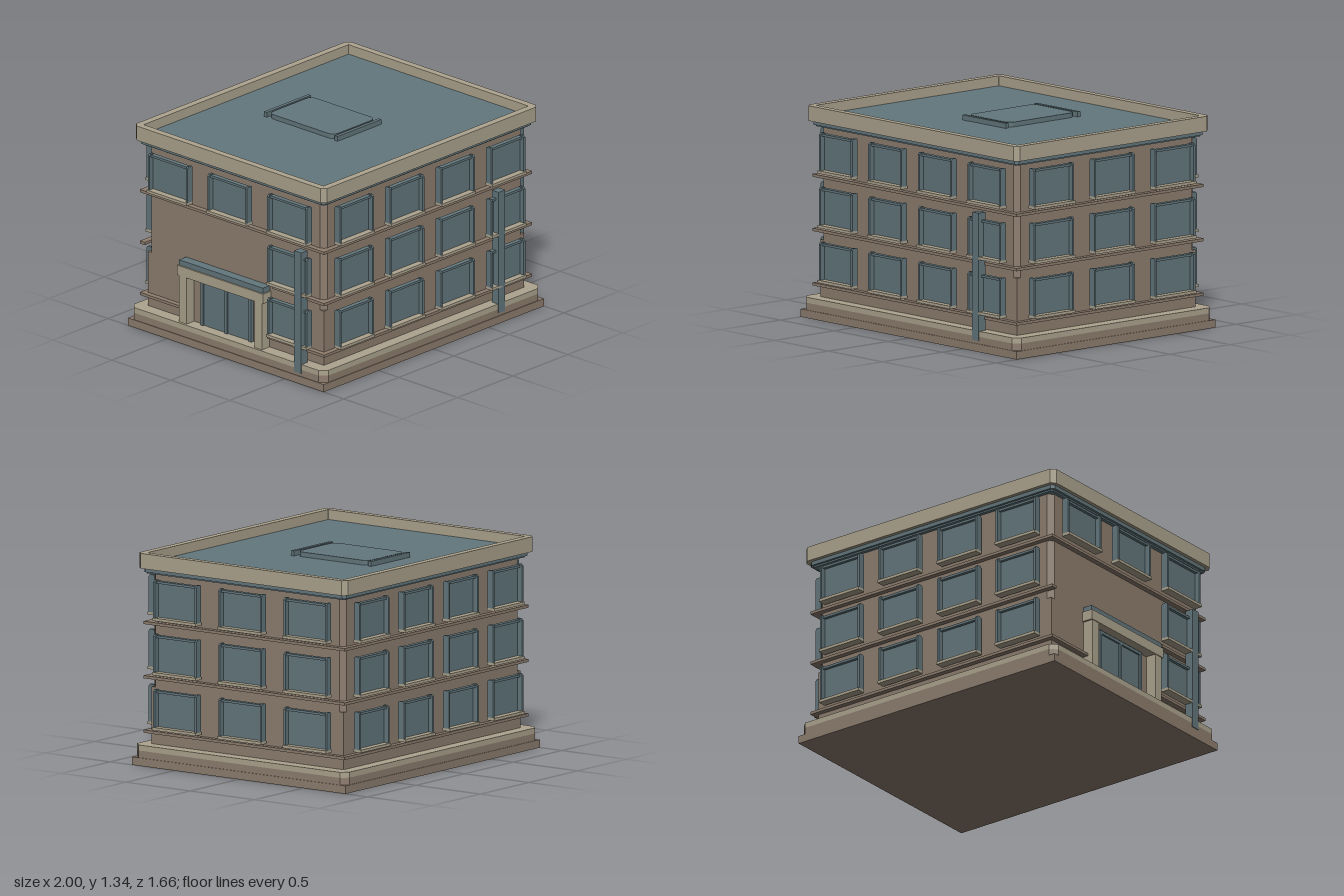
import * as THREE from 'three';

const mat = (name, color, side = THREE.FrontSide) => {
  const m = new THREE.MeshStandardMaterial({ color, side });
  m.name = name;
  return m;
};

export function createModel() {
  const model = new THREE.Group();
  model.name = 'officeBuilding';
  const brick = mat('brownBrick', 0x8e7e6f);
  const stone = mat('paleStone', 0xada48f);
  const teal = mat('slateTeal', 0x63777d);

  const add = (parent, name, geo, material) => {
    const m = new THREE.Mesh(geo, material);
    m.name = name;
    parent.add(m);
    return m;
  };
  // Box given by its min and max on each axis
  const box = (parent, name, material, [x0, x1], [y0, y1], [z0, z1]) => {
    const m = add(parent, name, new THREE.BoxGeometry(x1 - x0, y1 - y0, z1 - z0), material);
    m.position.set((x0 + x1) / 2, (y0 + y1) / 2, (z0 + z1) / 2);
    return m;
  };
  // Rectangle outline with cut corners
  const outline = (w, d, c) => [
    [w - c, -d], [w, c - d], [w, d - c], [w - c, d],
    [c - w, d], [-w, d - c], [-w, c - d], [c - w, -d],
  ].map(([x, y]) => new THREE.Vector2(x, y));
  // Slab with cut corners, optionally open in the middle
  const slab = (name, material, w, d, c, y0, y1, hole) => {
    const s = new THREE.Shape(outline(w, d, c));
    if (hole) s.holes.push(new THREE.Path(outline(hole[0], hole[1], 0.002).reverse()));
    const geo = new THREE.ExtrudeGeometry(s, { depth: y1 - y0, bevelEnabled: false });
    geo.rotateX(-Math.PI / 2);
    add(model, name, geo, material).position.y = y0;
  };

  // Base and walls
  box(model, 'baseFooting', brick, [-1, 1], [0, 0.05], [-0.83, 0.83]);
  slab('basePlinth', brick, 0.995, 0.825, 0.042, 0.05, 0.095);
  slab('plinthCap', stone, 0.995, 0.825, 0.042, 0.095, 0.13);
  box(model, 'lowerWalls', brick, [-0.91, 0.91], [0.13, 0.49], [-0.747, 0.747]);
  slab('upperWalls', brick, 0.91, 0.747, 0.032, 0.49, 1.21);

  // Cornice, parapet and roof
  slab('corniceLower', teal, 0.935, 0.77, 0.01, 1.205, 1.222);
  slab('corniceUpper', teal, 0.952, 0.785, 0.02, 1.215, 1.24);
  slab('roofDeck', teal, 0.94, 0.775, 0.01, 1.24, 1.272);
  slab('parapet', stone, 0.976, 0.81, 0.028, 1.24, 1.335, [0.93, 0.763]);

  // Roof hatch with rounded corners and a rail at each end
  const r = 0.045, hw = 0.193, hd = 0.275;
  const hatch = new THREE.Shape();
  hatch.absarc(hw - r, hd - r, r, 0, Math.PI / 2);
  hatch.absarc(r - hw, hd - r, r, Math.PI / 2, Math.PI);
  hatch.absarc(r - hw, r - hd, r, Math.PI, Math.PI * 1.5);
  hatch.absarc(hw - r, r - hd, r, Math.PI * 1.5, Math.PI * 2);
  const hatchGeo = new THREE.ExtrudeGeometry(hatch, { depth: 0.03, bevelEnabled: false, curveSegments: 5 });
  hatchGeo.rotateX(-Math.PI / 2);
  add(model, 'roofHatch', hatchGeo, teal).position.set(-0.002, 1.272, -0.115);
  for (const z of [-0.412, 0.187])
    box(model, 'hatchRail', teal, [-0.2, 0.2], [1.272, 1.304], [z - 0.012, z + 0.012]);

  // String courses; the entrance side is interrupted by the portal
  for (const y of [0.2, 0.543, 0.885]) {
    const h = [y, y + 0.018];
    box(model, 'frontBand', brick, [-0.945, 0.945], h, [0.74, 0.782]);
    box(model, 'backBand', brick, [-0.945, 0.945], h, [-0.782, -0.74]);
    box(model, 'sideBand', brick, [0.9, 0.945], h, [-0.74, 0.74]);
    const spans = y > 0.8 ? [[-0.74, 0.74]] : y > 0.5 ? [[0.34, 0.74]] : [[-0.74, -0.42], [0.3, 0.74]];
    for (const s of spans) box(model, 'entranceSideBand', brick, [-0.945, -0.9], h, s);
  }

  // Window bay facing +z: pane, two deep jambs, head and sill
  const windowBay = (w) => {
    const g = new THREE.Group();
    g.name = 'window';
    const a = w / 2;
    box(g, 'pane', teal, [-a + 0.01, a - 0.01], [0.01, 0.24], [0, 0.012]);
    for (const s of [-1, 1]) {
      const jamb = new THREE.Shape([[0, 0.012], [0.045, 0.012], [0.045, 0.238], [0.034, 0.25], [0.008, 0.25], [0, 0.242]]
        .map(([x, y]) => new THREE.Vector2(x, y)));
      const geo = new THREE.ExtrudeGeometry(jamb, { depth: 0.015, bevelEnabled: false });
      geo.rotateY(-Math.PI / 2);
      add(g, 'jamb', geo, teal).position.x = s * (a - 0.0075) + 0.0075;
    }
    box(g, 'head', teal, [-a + 0.015, a - 0.015], [0.228, 0.243], [0, 0.032]);
    box(g, 'sill', stone, [-a, a], [-0.005, 0.013], [-0.003, 0.055]);
    return g;
  };
  const long = [-0.687, -0.23, 0.23, 0.687], short = [-0.506, 0, 0.506];
  const sides = [
    { angle: 0, dist: 0.775, cols: long, w: 0.31 },
    { angle: Math.PI, dist: 0.775, cols: long, w: 0.31 },
    { angle: Math.PI / 2, dist: 0.942, cols: short, w: 0.338 },
    { angle: -Math.PI / 2, dist: 0.942, cols: short, w: 0.338, entrance: true },
  ];
  for (const { angle, dist, cols, w, entrance } of sides) {
    const wall = new THREE.Group();
    wall.name = 'windowWall';
    wall.rotation.y = angle;
    [0.24, 0.587, 0.93].forEach((y, row) => {
      for (const x of cols) {
        if (entrance && row < 2 && x < 0.3) continue;
        const win = windowBay(w);
        win.position.set(x, y, dist);
        wall.add(win);
      }
    });
    model.add(wall);
  }

  // Tall blade posts beside the front and entrance walls
  box(model, 'frontBlade', teal, [0.588, 0.648], [0.07, 0.875], [0.773, 0.83]);
  box(model, 'entranceBlade', teal, [-1, -0.942], [0.07, 0.875], [0.578, 0.638]);

  // Entrance portal on the -x side
  const portal = new THREE.Group();
  portal.name = 'entrancePortal';
  model.add(portal);
  for (const z of [-0.385, 0.255])
    box(portal, 'pillar', stone, [-0.98, -0.905], [0.13, 0.45], [z - 0.032, z + 0.032]);
  box(portal, 'lintel', stone, [-0.985, -0.905], [0.44, 0.505], [-0.43, 0.3]);
  box(portal, 'canopy', teal, [-0.975, -0.9], [0.505, 0.54], [-0.42, 0.29]);
  box(portal, 'doorGlass', teal, [-0.92, -0.905], [0.13, 0.42], [-0.27, 0.14]);
  for (const z of [-0.27, -0.065, 0.14])
    box(portal, 'doorFrame', teal, [-0.932, -0.905], [0.13, 0.43], [z - 0.01, z + 0.01]);
  box(portal, 'doorHead', teal, [-0.932, -0.905], [0.415, 0.435], [-0.28, 0.15]);

  return model;
}
